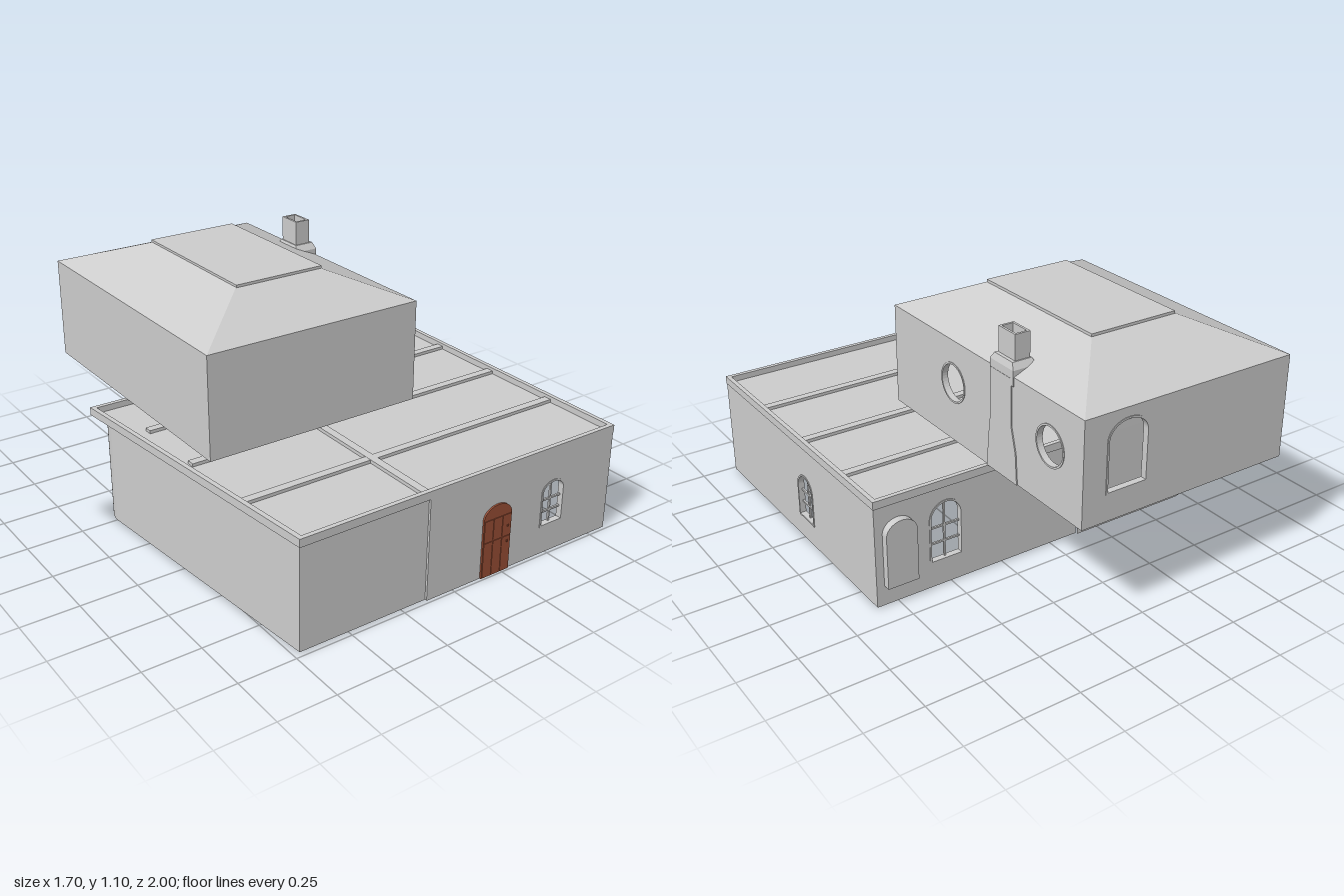
import * as THREE from 'three';

const plaster = new THREE.MeshStandardMaterial({ color: 0xcccccc });
plaster.name = 'plaster grey';
const wood = new THREE.MeshStandardMaterial({ color: 0x9a4f35 });
wood.name = 'door wood';

function mesh(name, geo, mat = plaster) {
  const m = new THREE.Mesh(geo, mat);
  m.name = name;
  return m;
}

// Box given by its minimum and maximum corners
function block(name, x0, x1, y0, y1, z0, z1, mat = plaster) {
  const g = new THREE.BoxGeometry(x1 - x0, y1 - y0, z1 - z0);
  g.translate((x0 + x1) / 2, (y0 + y1) / 2, (z0 + z1) / 2);
  return mesh(name, g, mat);
}

// Box whose top rectangle differs from its base rectangle: [x0, x1, z0, z1]
function taper(name, base, top, y0, y1) {
  const g = new THREE.BoxGeometry(1, 1, 1).toNonIndexed();
  const p = g.attributes.position;
  for (let i = 0; i < p.count; i++) {
    const up = p.getY(i) > 0;
    const r = up ? top : base;
    p.setXYZ(i, r[p.getX(i) > 0 ? 1 : 0], up ? y1 : y0, r[p.getZ(i) > 0 ? 3 : 2]);
  }
  g.computeVertexNormals();
  return mesh(name, g);
}

function polygon(points) {
  return new THREE.Shape(points.map(([x, y]) => new THREE.Vector2(x, y)));
}

// Opening outlines, grown by m for the frame around them
function outline(o, m, path) {
  if (o.round) return path.absarc(o.x, o.y, o.r + m, 0, Math.PI * 2);
  const w = o.w / 2 + m, rise = o.rise ?? o.w / 2, spring = o.y + o.h - rise;
  path.moveTo(o.x - w, o.y - m);
  path.lineTo(o.x + w, o.y - m);
  path.lineTo(o.x + w, spring);
  path.absellipse(o.x, spring, w, rise + m, 0, Math.PI);
  path.lineTo(o.x - w, o.y - m);
  return path;
}

function extrude(shape, depth) {
  return new THREE.ExtrudeGeometry(shape, { depth, bevelEnabled: false, curveSegments: 20 });
}

// Outward-facing wall from a to b [x, z]; openings use distance along it and height
function wall(name, a, b, y0, y1, openings = []) {
  const dx = b[0] - a[0], dz = b[1] - a[1], length = Math.hypot(dx, dz);
  const g = new THREE.Group();
  g.name = name;
  const shape = polygon([[0, y0], [length, y0], [length, y1], [0, y1]]);
  for (const o of openings) {
    shape.holes.push(outline(o, 0, new THREE.Path()));
    const ring = outline(o, 0.008, new THREE.Shape());
    ring.holes.push(outline(o, 0, new THREE.Path()));
    const frame = mesh('windowFrame', extrude(ring, 0.028));
    frame.position.z = -0.025;
    g.add(frame);
    if (!o.bars) continue;
    g.add(block('windowMullion', o.x - 0.004, o.x + 0.004, o.y, o.y + o.h, -0.02, -0.012));
    for (const k of [0.28, 0.56]) {
      const y = o.y + o.h * k;
      g.add(block('windowBar', o.x - o.w / 2, o.x + o.w / 2, y - 0.004, y + 0.004, -0.02, -0.012));
    }
  }
  g.add(mesh(name + 'Surface', new THREE.ShapeGeometry(shape, 20)));
  g.position.set(a[0], 0, a[1]);
  g.rotation.y = Math.atan2(-dz, dx);
  return g;
}

function underside(name, points, y) {
  const g = new THREE.ShapeGeometry(polygon(points));
  g.rotateX(Math.PI / 2);
  g.translate(0, y, 0);
  return mesh(name, g);
}

// Horizontal slab from [x, z] points, with an optional hole
function slab(name, points, y0, y1, hole) {
  const flip = (list) => list.map(([x, z]) => [x, -z]);
  const shape = polygon(flip(points));
  if (hole) shape.holes.push(polygon(flip(hole)));
  const g = extrude(shape, y1 - y0);
  g.rotateX(-Math.PI / 2);
  g.translate(0, y0, 0);
  return mesh(name, g);
}

function groundFloor() {
  const g = new THREE.Group();
  g.name = 'groundFloor';
  const H = 0.47;
  g.add(wall('frontLeftWall', [-0.72, 0.975], [-0.13, 0.975], 0, H));
  g.add(wall('frontStep', [-0.13, 0.975], [-0.13, 0.985], 0, H));
  const step = g.children[1].children[0];
  step.material = plaster;
  g.add(wall('frontWall', [-0.13, 0.985], [0.845, 0.985], 0, H,
    [{ x: 0.65, y: 0.135, w: 0.11, h: 0.19, rise: 0.04, bars: true }]));
  g.add(wall('rightWall', [0.845, 0.985], [0.845, -0.385], 0, H,
    [{ x: 0.77, y: 0.11, w: 0.12, h: 0.2, bars: true }]));

  const back = wall('backWall', [0.845, -0.385], [-0.14, -0.385], 0, H,
    [{ x: 0.325, y: 0.12, w: 0.14, h: 0.26, bars: true }]);
  const niche = outline({ x: 0.105, y: 0.09, w: 0.14, h: 0.295, rise: 0.06 }, 0, new THREE.Shape());
  back.add(mesh('backShutter', extrude(niche, 0.033)));
  g.add(back);
  g.add(wall('backLeftWall', [-0.14, -0.395], [-0.69, -0.395], 0, H,
    [{ x: 0.09, y: 0.13, w: 0.14, h: 0.24 }]));

  // Rounded rear corner
  const corner = new THREE.CylinderGeometry(0.145, 0.145, H, 16, 1, true, Math.PI, Math.PI / 2);
  corner.translate(-0.69, H / 2, -0.25);
  g.add(mesh('roundedCorner', corner));
  g.add(wall('leftWall', [-0.835, -0.25], [-0.72, 0.975], 0, H));
  g.add(wall('leftInnerWall', [-0.70, 0.96], [-0.815, -0.25], 0, H));

  // Flat roof, raised rim and shallow beams
  const outer = [[-0.725, 0.985], [0.848, 0.985], [0.848, -0.39], [-0.855, -0.4]];
  const inner = [[-0.705, 0.965], [0.828, 0.965], [0.828, -0.37], [-0.833, -0.38]];
  g.add(underside('floorUnderside', outer, 0));
  g.add(slab('flatRoof', outer, 0.45, 0.458));
  g.add(slab('roofRim', outer, 0.458, 0.485, inner));
  for (const z of [0.62, 0.25, -0.1]) g.add(block('roofBeam', -0.74, 0.83, 0.456, 0.472, z - 0.018, z + 0.018));
  g.add(block('roofBeam', -0.15, -0.115, 0.456, 0.473, -0.37, 0.97));
  return g;
}

function door() {
  const g = new THREE.Group();
  g.name = 'door';
  const leaf = outline({ x: 0.215, y: 0.002, w: 0.145, h: 0.318, rise: 0.055 }, 0, new THREE.Shape());
  const panel = mesh('doorLeaf', extrude(leaf, 0.008), wood);
  panel.position.z = 0.985;
  g.add(panel);
  // Plank strips on the lower and upper leaves
  for (const [y0, y1] of [[0.008, 0.162], [0.168, 0.262]]) {
    for (let i = 0; i < 3; i++) {
      const x = 0.145 + i * 0.0475;
      g.add(block('doorPlank', x, x + 0.045, y0, y1, 0.992, 0.996, wood));
    }
  }
  for (const y of [0.14, 0.21]) g.add(block('doorHandle', 0.263, 0.271, y - 0.004, y + 0.004, 0.994, 1, wood));
  return g;
}

function upperFloor() {
  const g = new THREE.Group();
  g.name = 'upperFloor';
  const [x0, x1, z0, z1, y0, y1] = [-0.69, 0.32, -1, 0.32, 0.488, 0.93];
  g.add(wall('upperFrontWall', [x0, z1], [x1, z1], y0, y1));
  const right = wall('upperRightWall', [x1, z1], [x1, z0], y0, y1, [
    { round: true, x: 0.46, y: 0.75, r: 0.08 },
    { round: true, x: 1.12, y: 0.75, r: 0.08 },
  ]);
  // Shallow flared chimney breast on the wall
  const breast = polygon([[0.71, y0], [0.915, y0], [0.905, 0.62], [0.875, 0.73], [0.875, y1],
    [0.735, y1], [0.735, 0.73], [0.72, 0.62]]);
  right.add(mesh('chimneyBreast', extrude(breast, 0.005)));
  g.add(right);
  g.add(wall('upperBackWall', [x1, z0], [x0, z0], y0, y1,
    [{ x: 0.205, y: 0.61, w: 0.18, h: 0.28, rise: 0.07 }]));
  g.add(wall('upperLeftWall', [x0, z0], [x0, z1], y0, y1));
  g.add(wall('upperLeftInnerWall', [x0 + 0.02, z1], [x0 + 0.02, z0], y0, y1));
  g.add(underside('upperFloorUnderside', [[x0, z0], [x1, z0], [x1, z1], [x0, z1]], y0));

  // Hipped roof with a flat cap
  g.add(block('eave', x0, x1, y1, 0.938, z0, z1));
  g.add(taper('hippedRoof', [x0, x1, z0, z1], [-0.39, 0.02, -0.65, 0.05], 0.938, 1.065));
  g.add(block('roofCap', -0.39, 0.025, 1.062, 1.075, -0.655, 0.053));
  return g;
}

function chimney() {
  const g = new THREE.Group();
  g.name = 'chimney';
  g.add(block('chimneyBase', 0.215, 0.324, 0.9, 0.965, -0.567, -0.412));
  g.add(taper('chimneyShoulder', [0.215, 0.324, -0.567, -0.412], [0.225, 0.315, -0.55, -0.43], 0.965, 0.992));
  const rect = (m) => [[0.23 + m, -0.435 - m], [0.3 - m, -0.435 - m], [0.3 - m, -0.545 + m], [0.23 + m, -0.545 + m]];
  g.add(slab('chimneyFlue', rect(0), 0.99, 1.1, rect(0.01)));
  return g;
}

export function createModel() {
  const model = new THREE.Group();
  model.name = 'house';
  model.add(groundFloor(), door(), upperFloor(), chimney());
  return model;
}
